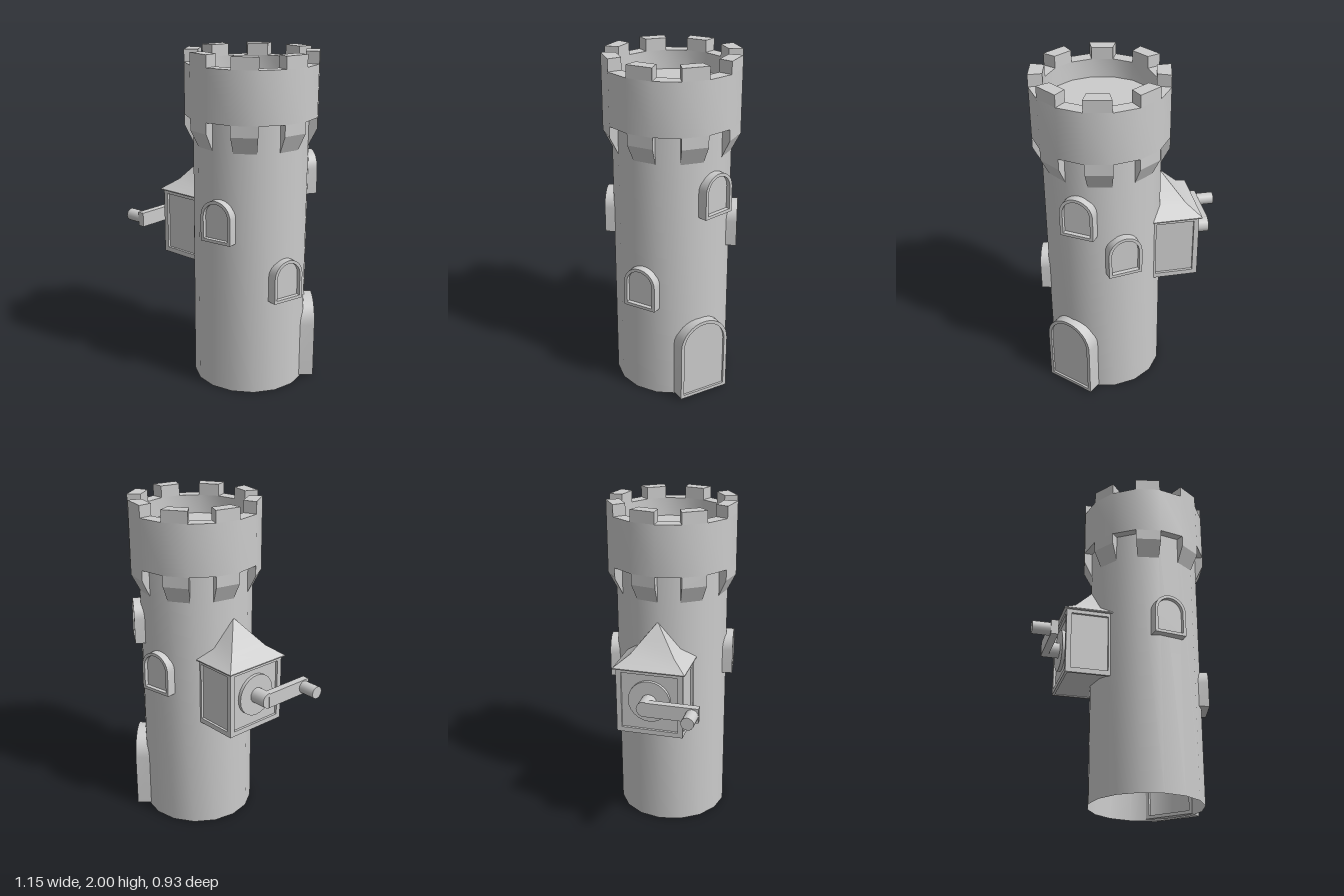
import * as THREE from 'three';
import { toCreasedNormals } from 'three/addons/utils/BufferGeometryUtils.js';

const SIDES = 16;
const STEP = (Math.PI * 2) / SIDES;
const rad = THREE.MathUtils.degToRad;

export function createModel() {
  const model = new THREE.Group();
  const grey = new THREE.MeshStandardMaterial({ color: 0xcccccc });
  const greyDouble = new THREE.MeshStandardMaterial({ color: 0xcccccc, side: THREE.DoubleSide });

  const tower = new THREE.Group();
  tower.name = 'tower';
  tower.position.set(0.18, 0, 0.075);
  model.add(tower);

  function add(parent, name, geometry, material = grey) {
    const mesh = new THREE.Mesh(geometry, material);
    mesh.name = name;
    parent.add(mesh);
    return mesh;
  }

  // Group turned to face outward from the tower axis, local +z pointing out
  function facing(name, degrees) {
    const g = new THREE.Group();
    g.name = name;
    g.rotation.y = rad(degrees);
    tower.add(g);
    return g;
  }

  function lathe(points, sides = SIDES) {
    const pts = points.map(([r, y]) => new THREE.Vector2(r, y));
    return toCreasedNormals(new THREE.LatheGeometry(pts, sides), rad(30));
  }

  // Tower wall, open underneath
  add(tower, 'wall', lathe([[0.34, 0], [0.34, 1.64]]), greyDouble);
  // Crown with parapet and sunken roof floor
  add(tower, 'crown', lathe([
    [0.33, 1.63], [0.39, 1.63], [0.39, 1.93], [0.31, 1.93], [0.31, 1.82], [0, 1.82],
  ]));

  // Block bent over one side of the tower; the outer lower edge may be raised
  function sector(k, rIn, rOut, yIn, yOut, yTop) {
    const g = new THREE.BoxGeometry(1, 1, 1).toNonIndexed();
    const p = g.attributes.position;
    for (let i = 0; i < p.count; i++) {
      const outer = p.getZ(i) > 0;
      const a = (k + 0.5 + p.getX(i)) * STEP;
      const r = outer ? rOut : rIn;
      const y = p.getY(i) > 0 ? yTop : outer ? yOut : yIn;
      p.setXYZ(i, r * Math.sin(a), y, r * Math.cos(a));
    }
    g.computeVertexNormals();
    return g;
  }

  // Battlements and the corbels below them on every second side
  for (let k = 1; k < SIDES; k += 2) {
    add(tower, 'merlon', sector(k, 0.31, 0.39, 1.93, 1.93, 2));
    add(tower, 'corbel', sector(k, 0.335, 0.39, 1.455, 1.565, 1.63));
  }

  // Round-headed outline
  function arch(Type, w, y0, y1) {
    const r = w / 2;
    const s = new Type();
    s.moveTo(-r, y0);
    s.lineTo(r, y0);
    s.lineTo(r, y1 - r);
    s.absarc(0, y1 - r, r, 0, Math.PI, false);
    s.lineTo(-r, y0);
    return s;
  }

  function archedOpening(name, degrees, w, y0, y1, border, back, panelAt, front) {
    const g = facing(name, degrees);
    const outline = arch(THREE.Shape, w, y0, y1);
    const inner = [w - border * 2, y0 + border, y1 - border];
    outline.holes.push(arch(THREE.Path, ...inner));
    const frame = new THREE.ExtrudeGeometry(outline, {
      depth: front - back, bevelEnabled: false, curveSegments: 8,
    });
    add(g, name + 'Frame', toCreasedNormals(frame, rad(30))).position.z = back;
    const panel = new THREE.ShapeGeometry(arch(THREE.Shape, ...inner), 8);
    add(g, name + 'Panel', panel, greyDouble).position.z = panelAt;
  }

  // Door and windows
  archedOpening('door', 90, 0.31, 0.01, 0.5, 0.02, 0.29, 0.372, 0.385);
  for (const [degrees, y0] of [[-37, 0.94], [31, 0.585], [103, 1.145], [145, 0.89]]) {
    archedOpening('window', degrees, 0.2, y0, y0 + 0.25, 0.018, 0.31, 0.355, 0.38);
  }

  // Winch house on the back left
  const winch = facing('winchHouse', -135);
  const yMid = 0.915;
  const core = add(winch, 'houseBody', new THREE.BoxGeometry(0.37, 0.4, 0.27));
  core.position.set(0, yMid, 0.385);

  // Raised rectangular frame around a recessed panel
  function frameGeometry(w, h, border) {
    const s = new THREE.Shape();
    s.moveTo(-w / 2, -h / 2).lineTo(w / 2, -h / 2).lineTo(w / 2, h / 2).lineTo(-w / 2, h / 2);
    const x = w / 2 - border;
    const y = h / 2 - border;
    const hole = new THREE.Path();
    hole.moveTo(-x, -y).lineTo(-x, y).lineTo(x, y).lineTo(x, -y);
    s.holes.push(hole);
    return new THREE.ExtrudeGeometry(s, { depth: 0.015, bevelEnabled: false });
  }
  add(winch, 'frontFrame', frameGeometry(0.4, 0.41, 0.03)).position.set(0, yMid, 0.52);
  for (const side of [-1, 1]) {
    const f = add(winch, 'sideFrame', frameGeometry(0.285, 0.41, 0.03));
    f.position.set(side * 0.185, yMid, 0.3925);
    f.rotation.y = side * Math.PI / 2;
  }

  // Flared four-sided roof
  const roofProfile = [[0, 1.112], [0.215, 1.112], [0.215, 1.118], [0.132, 1.18], [0.072, 1.255], [0, 1.345]];
  const roof = lathe(roofProfile.map(([r, y]) => [r * Math.SQRT2, y]), 4);
  roof.rotateY(Math.PI / 4);
  add(winch, 'houseRoof', roof).position.z = 0.336;

  // Cylinder lying along the outward direction
  function rod(name, r, z0, z1, x, sides) {
    const g = new THREE.CylinderGeometry(r, r, z1 - z0, sides);
    g.rotateX(Math.PI / 2);
    add(winch, name, g).position.set(x, 0.925, (z0 + z1) / 2);
  }
  // Bearing disc, axle, crank arm and handle
  rod('bearingDisc', 0.127, 0.5, 0.54, 0, 24);
  rod('axle', 0.047, 0.53, 0.643, 0, 16);
  const arm = add(winch, 'crankArm', new THREE.BoxGeometry(0.32, 0.088, 0.043));
  arm.position.set(0.16, 0.925, 0.625);
  rod('crankHandle', 0.038, 0.64, 0.753, 0.282, 16);

  return model;
}
